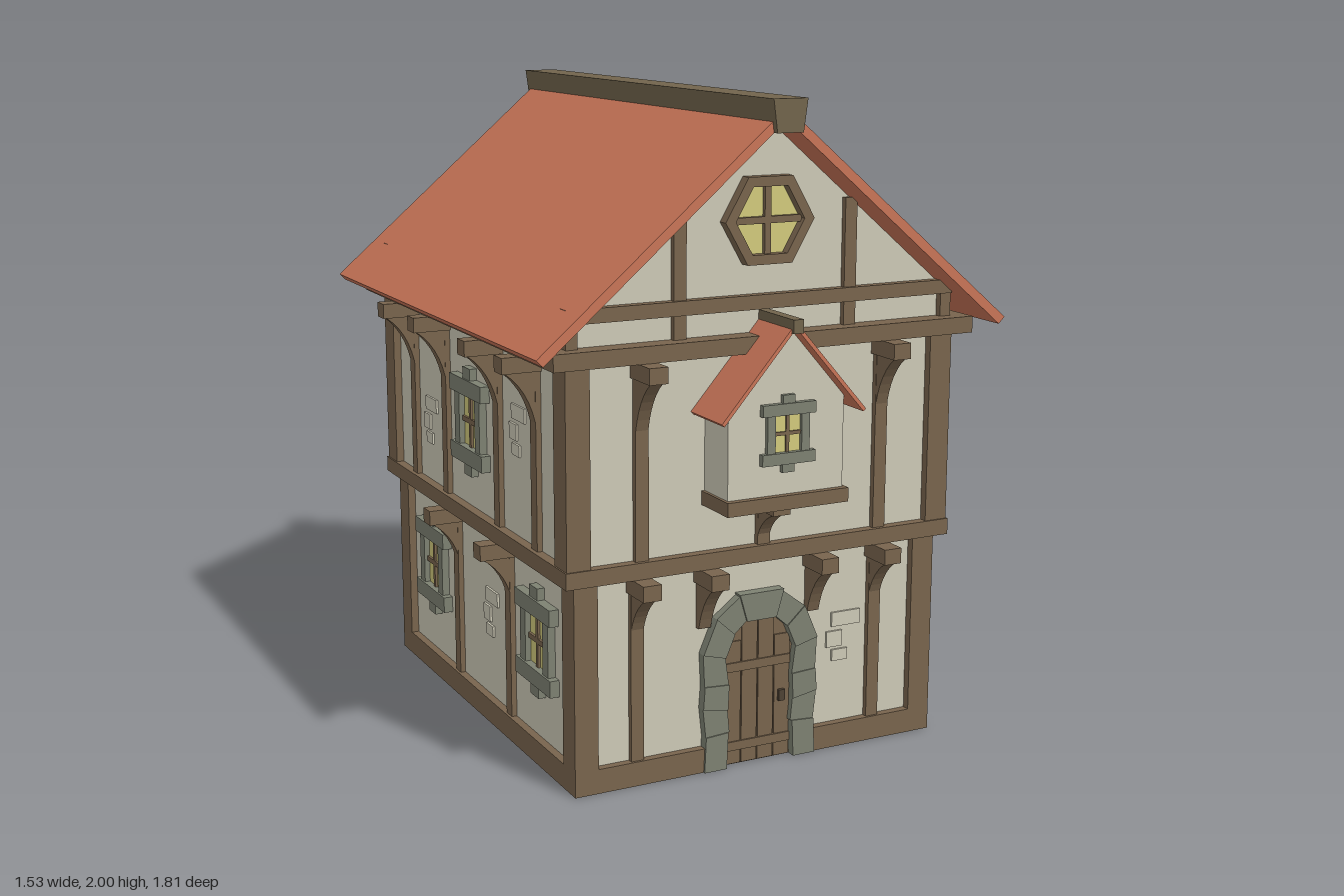
import * as THREE from 'three';

const mat = (name, color) => {
  const m = new THREE.MeshStandardMaterial({ color });
  m.name = name;
  return m;
};

export function createModel() {
  const plaster = mat('plaster', 0xcdc9b6), timber = mat('timber', 0x78644d),
    tile = mat('roof tile', 0xc97558), stone = mat('grey stone', 0x7d8172),
    glass = mat('yellow glass', 0xd2ca7c), ridgeWood = mat('ridge wood', 0x71644c),
    iron = mat('dark iron', 0x4e4234);
  const house = new THREE.Group();
  house.name = 'house';
  const CZ = -0.0275; // middle of the walls in z

  const add = (parent, name, geo, m) => {
    const mesh = new THREE.Mesh(geo, m);
    mesh.name = name;
    parent.add(mesh);
    return mesh;
  };
  // box given by its limits
  const box = (p, name, m, x0, x1, y0, y1, z0, z1) => {
    const b = add(p, name, new THREE.BoxGeometry(x1 - x0, y1 - y0, z1 - z0), m);
    b.position.set((x0 + x1) / 2, (y0 + y1) / 2, (z0 + z1) / 2);
    return b;
  };
  // outline in x, y pushed from z0 to z1
  const poly = (pts, hole) => {
    const s = new THREE.Shape(pts.map(([x, y]) => new THREE.Vector2(x, y)));
    if (hole) s.holes.push(new THREE.Path(hole.map(([x, y]) => new THREE.Vector2(x, y))));
    return s;
  };
  const prism = (p, name, m, shape, z0, z1) => {
    const g = new THREE.ExtrudeGeometry(shape, { depth: z1 - z0, bevelEnabled: false, curveSegments: 6 });
    g.translate(0, 0, z0);
    return add(p, name, g, m);
  };
  const flip = (pts, s) => pts.map(([x, y]) => [x * s, y]);

  // ---- storeys: plaster cores, sills, bands and corner posts
  const slab = (name, m, hx, hz, y0, y1) => box(house, name, m, -hx, hx, y0, y1, CZ - hz, CZ + hz);
  slab('groundWall', plaster, 0.585, 0.7125, 0.03, 0.66);
  slab('upperWall', plaster, 0.615, 0.7325, 0.66, 1.3);
  slab('floorBand', timber, 0.645, 0.7635, 0.64, 0.69);
  slab('eavesBand', timber, 0.69, 0.795, 1.275, 1.325);
  box(house, 'baseSill', timber, -0.61, 0.61, 0, 0.075, CZ - 0.7375, 0.684);
  for (const s of [-1, 1]) {
    const a = [0.17 * s, 0.61 * s].sort((p, q) => p - q);
    box(house, 'frontSill', timber, a[0], a[1], 0, 0.075, 0.684, 0.71);
    for (const t of [-1, 1]) {
      const post = (name, hx, hz, y0, y1) => {
        const b = add(house, name, new THREE.BoxGeometry(0.075, y1 - y0, 0.085), timber);
        b.position.set(s * (hx - 0.0375), (y0 + y1) / 2, CZ + t * (hz - 0.0425));
      };
      post('groundPost', 0.61, 0.7375, 0.07, 0.645);
      post('upperPost', 0.64, 0.7585, 0.685, 1.28);
    }
  }

  // a face group: x runs along the wall, z points outward, z = 0 is the post face
  const face = (name, angle, dist) => {
    const g = new THREE.Group();
    g.name = name;
    g.rotation.y = angle;
    g.position.set(Math.sin(angle) * dist, 0, CZ + Math.cos(angle) * dist);
    house.add(g);
    return g;
  };
  const stud = (f, x, y0, y1) => box(f, 'stud', timber, x - 0.021, x + 0.021, y0, y1, -0.03, -0.008);
  // cap block on a curved brace
  const bracket = (f, x, top, reach, drop = 0.2, cap = 0.048) => {
    box(f, 'bracketCap', timber, x - 0.029, x + 0.029, top - cap, top, -0.03, reach);
    const s = new THREE.Shape();
    s.moveTo(-0.03, top - cap);
    s.lineTo(reach - 0.012, top - cap);
    s.quadraticCurveTo(0.015, top - cap - drop * 0.25, -0.008, top - drop);
    s.lineTo(-0.03, top - drop);
    s.closePath();
    const b = prism(f, 'bracketBrace', timber, s, -0.02, 0.02);
    b.rotation.y = -Math.PI / 2;
    b.position.x = x;
  };
  // stone framed window centred on x, y
  const windowAt = (f, x, y, z, k = 1) => {
    const g = new THREE.Group();
    g.name = 'window';
    g.position.set(x, y, z);
    g.scale.setScalar(k);
    f.add(g);
    box(g, 'glass', glass, -0.07, 0.07, -0.09, 0.09, 0, 0.006);
    box(g, 'mullion', timber, -0.008, 0.008, -0.088, 0.088, 0, 0.014);
    box(g, 'transom', timber, -0.068, 0.068, -0.008, 0.008, 0, 0.014);
    for (const s of [-1, 1]) {
      const j = box(g, 'jambStone', stone, -0.02, 0.02, -0.088, 0.088, 0, 0.024);
      j.position.x = s * 0.085;
      const l = box(g, 'lintelStone', stone, -0.132, 0.132, -0.026, 0.026, 0, 0.03);
      l.position.y = s * 0.109;
      const k2 = box(g, 'keyStone', stone, -0.03, 0.03, -0.02, 0.02, 0, 0.024);
      k2.position.y = s * 0.152;
    }
  };
  // three thin raised blocks in the plaster
  const patch = (f, x, y) => [[0, 0.05, 0.1, 0.045], [-0.04, -0.012, 0.055, 0.05], [-0.02, -0.065, 0.055, 0.036]]
    .forEach(([dx, dy, w, h]) => box(f, 'wallBlock', plaster,
      x + dx - w / 2, x + dx + w / 2, y + dy - h / 2, y + dy + h / 2, -0.03, -0.018));

  const upStud = (f, x) => { stud(f, x, 0.685, 1.28); bracket(f, x, 1.275, 0.098); };
  const lowStud = (f, x) => { stud(f, x, 0.07, 0.645); bracket(f, x, 0.64, 0.09, 0.16); };

  // ---- side walls, alike on both sides
  for (const s of [-1, 1]) {
    const low = face('sideGround', s * Math.PI / 2, 0.61), up = face('sideUpper', s * Math.PI / 2, 0.64);
    for (const x of [-0.22, 0.22]) { lowStud(low, x); upStud(up, x); windowAt(low, 2 * x, 0.385, -0.025); }
    for (const x of [-0.51, 0.51]) upStud(up, x);
    windowAt(up, 0, 0.97, -0.025);
    patch(low, 0.06, 0.36);
    patch(up, -0.37, 0.9);
    patch(up, 0.37, 1.02);
  }
  // ---- back wall
  const backLow = face('backGround', Math.PI, 0.7375), backUp = face('backUpper', Math.PI, 0.7585);
  for (const x of [-0.39, -0.14, 0.14, 0.39]) lowStud(backLow, x);
  for (const x of [-0.4, -0.19, 0.19, 0.4]) upStud(backUp, x);
  windowAt(backUp, 0, 0.97, -0.025);
  patch(backLow, -0.27, 0.45);
  patch(backUp, 0.3, 0.95);
  // ---- front wall
  const frontLow = face('frontGround', 0, 0.7375), frontUp = face('frontUpper', 0, 0.7585);
  for (const s of [-1, 1]) {
    lowStud(frontLow, s * 0.405);
    upStud(frontUp, s * 0.4);
    bracket(frontLow, s * 0.185, 0.64, 0.09, 0.19);
  }
  patch(frontLow, 0.31, 0.355);

  // ---- door with planks, straps and ring of stones
  const door = new THREE.Group();
  door.name = 'door';
  door.position.z = 0.685;
  house.add(door);
  prism(door, 'doorLeaf', timber, poly([[-0.13, 0], [0.13, 0], [0.13, 0.36], [0.07, 0.46], [-0.07, 0.46], [-0.13, 0.36]]), -0.01, 0.004);
  [[-0.084, 0.39], [-0.028, 0.45], [0.028, 0.45], [0.084, 0.39]].forEach(([x, h]) =>
    box(door, 'plank', timber, x - 0.026, x + 0.026, 0.003, h, 0, 0.009));
  for (const y of [0.06, 0.31]) box(door, 'strap', timber, -0.11, 0.11, y - 0.014, y + 0.014, 0, 0.014);
  box(door, 'handle', iron, 0.07, 0.09, 0.18, 0.215, 0, 0.02);
  for (const s of [-1, 1]) {
    [
      [[0.115, 0], [0.19, 0], [0.185, 0.11], [0.11, 0.115]],
      [[0.105, 0.115], [0.185, 0.11], [0.195, 0.2], [0.112, 0.185]],
      [[0.112, 0.185], [0.195, 0.2], [0.19, 0.27], [0.108, 0.265]],
      [[0.108, 0.265], [0.19, 0.27], [0.195, 0.37], [0.12, 0.35]],
      [[0.12, 0.35], [0.195, 0.37], [0.15, 0.475], [0.09, 0.42]],
      [[0.09, 0.42], [0.15, 0.475], [0.07, 0.535], [0.05, 0.455]],
    ].forEach((q, i) => prism(door, 'archStone', stone, poly(flip(q, s)), -0.01, i % 2 ? 0.028 : 0.032));
  }
  prism(door, 'archKeystone', stone, poly([[-0.05, 0.455], [0.05, 0.455], [0.075, 0.54], [-0.075, 0.54]]), -0.01, 0.034);

  // ---- gables
  prism(house, 'gableWall', plaster, poly([[-0.615, 1.32], [0.615, 1.32], [0.615, 1.43], [0, 1.95], [-0.615, 1.43]]), CZ - 0.7325, CZ + 0.7325);
  [[0, [-0.28, 0.28]], [Math.PI, [-0.28, 0, 0.28]]].forEach(([a, xs]) => {
    const g = face('gableFrame', a, 0.7585);
    box(g, 'tieBeam', timber, -0.635, 0.635, 1.395, 1.437, -0.04, 0.002);
    for (const x of xs) box(g, 'gablePost', timber, x - 0.02, x + 0.02, 1.32, x ? 1.7 : 1.93, -0.03, -0.008);
    for (const s of [-1, 1]) {
      const p = box(g, 'endPost', timber, -0.018, 0.018, 1.32, 1.4, -0.06, -0.004);
      p.position.x = s * 0.617;
    }
  });
  // six sided window in the front gable
  const hex = (r) => Array.from({ length: 6 }, (_, i) => [r * Math.cos(i * Math.PI / 3), 1.65 + r * Math.sin(i * Math.PI / 3)]);
  const hexWin = face('gableWindow', 0, 0.7325);
  prism(hexWin, 'hexFrame', timber, poly(hex(0.145), hex(0.112)), -0.005, 0.035);
  prism(hexWin, 'hexGlass', glass, poly(hex(0.115)), -0.005, 0.006);
  box(hexWin, 'hexMullion', timber, -0.01, 0.01, 1.55, 1.75, 0, 0.02);
  box(hexWin, 'hexTransom', timber, -0.11, 0.11, 1.64, 1.66, 0, 0.02);

  // ---- main roof
  for (const s of [-1, 1])
    prism(house, 'roofSlope', tile, poly(flip([[0, 1.975], [0.765, 1.326], [0.745, 1.306], [0, 1.94]], s)), -0.885, 0.825);
  prism(house, 'roofRidge', ridgeWood, poly([[-0.042, 1.905], [0.042, 1.905], [0.055, 2], [-0.055, 2]]), -0.905, 0.845);

  // ---- front bay over the door
  const bay = new THREE.Group();
  bay.name = 'bay';
  house.add(bay);
  prism(bay, 'bayWall', plaster, poly([[-0.19, 0.86], [0.19, 0.86], [0.19, 1.145], [0, 1.366], [-0.19, 1.145]]), 0.69, 0.845);
  box(bay, 'bayBeam', timber, -0.2, 0.2, 0.83, 0.872, 0.7, 0.865);
  for (const s of [-1, 1])
    prism(bay, 'bayRoof', tile, poly(flip([[0, 1.38], [0.236, 1.11], [0.228, 1.102], [0, 1.363]], s)), 0.69, 0.893);
  box(bay, 'bayRidge', ridgeWood, -0.016, 0.016, 1.35, 1.39, 0.69, 0.905);
  windowAt(bay, 0, 1.053, 0.843, 0.66);
  stud(frontUp, 0, 0.685, 0.83);
  bracket(frontUp, 0, 0.832, 0.095, 0.11, 0.03);

  return house;
}
